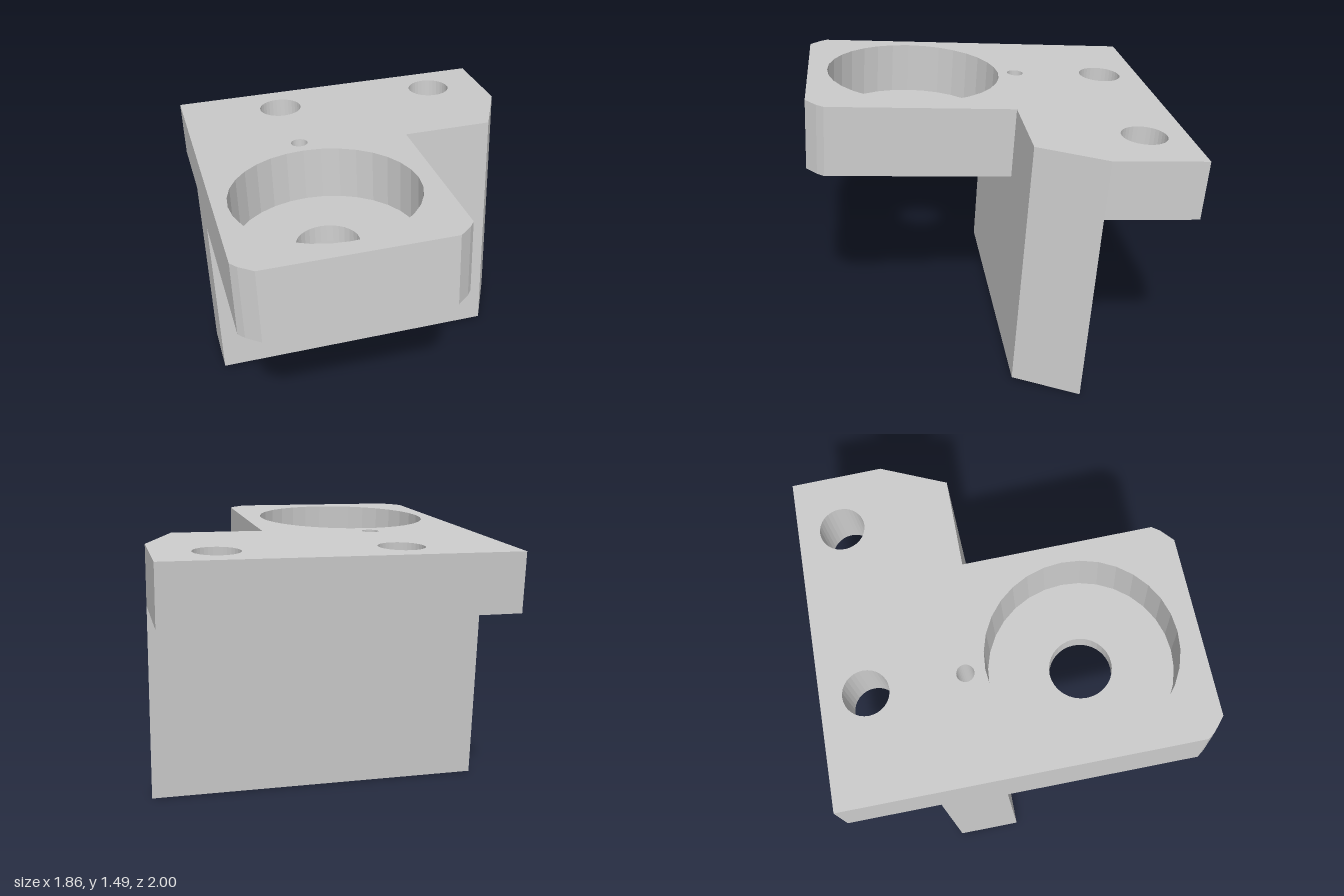
import * as THREE from 'three';

const material = new THREE.MeshStandardMaterial({ color: 0xcccccc, flatShading: true });

// Prism from an [x, z] outline between two heights, with round holes [x, z, radius]
function slab(name, outline, bottom, top, holes = []) {
  const shape = new THREE.Shape(outline.map(([x, z]) => new THREE.Vector2(x, -z)));
  for (const [x, z, r] of holes) {
    shape.holes.push(new THREE.Path().absarc(x, -z, r, 0, Math.PI * 2, false));
  }
  const geometry = new THREE.ExtrudeGeometry(shape, {
    depth: top - bottom, bevelEnabled: false, curveSegments: 16,
  });
  geometry.rotateX(-Math.PI / 2).translate(0, bottom, 0);
  const mesh = new THREE.Mesh(geometry, material);
  mesh.name = name;
  return mesh;
}

export function createModel() {
  const left = -0.929, right = 0.929;      // overall width
  const webBack = 0.5, webFront = 0.85;    // web, measured from the rear edge
  const armRight = 0.254, front = 1.979;   // projecting arm
  const holeX = -0.35, boreZ = 1.367;

  const bracket = new THREE.Group();
  bracket.name = 'bracket';

  // Rear flange with two bolt holes
  const flange = [[left, 0], [right, 0], [right, webBack], [left, webBack]];
  bracket.add(slab('rearFlange', flange, -0.32, 0,
    [[holeX, 0.241, 0.123], [0.603, 0.241, 0.123]]));

  // Upright web with one slanted end and a blind pin hole in its top
  const web = [[left, webBack], [right, webBack], [0.76, webFront], [left, webFront]];
  bracket.add(slab('webTop', web, -0.32, 0, [[holeX, 0.761, 0.047]]));
  bracket.add(slab('web', web, -1.4, -0.32));

  // Forward arm with slightly bowed corner cuts: [inset from side, inset from front]
  const cut = [[0, 0.1], [0.03, 0.06], [0.1, 0]];
  const arm = [
    [left, webFront], [armRight, webFront],
    ...cut.map(([dx, dz]) => [armRight - dx, front - dz]),
    ...cut.map(([dx, dz]) => [left + dx, front - dz]).reverse(),
  ];
  // Wide pocket above, narrow through hole in its floor
  bracket.add(slab('armPocket', arm, -0.3, 0, [[holeX, boreZ, 0.502]]));
  bracket.add(slab('armFloor', arm, -0.4, -0.3, [[holeX, boreZ, 0.17]]));

  // The whole bracket leans back slightly
  bracket.rotation.x = -0.0657;
  bracket.position.set(0, 1.366, -1);

  const model = new THREE.Group();
  model.name = 'mountingBracket';
  model.add(bracket);
  return model;
}
